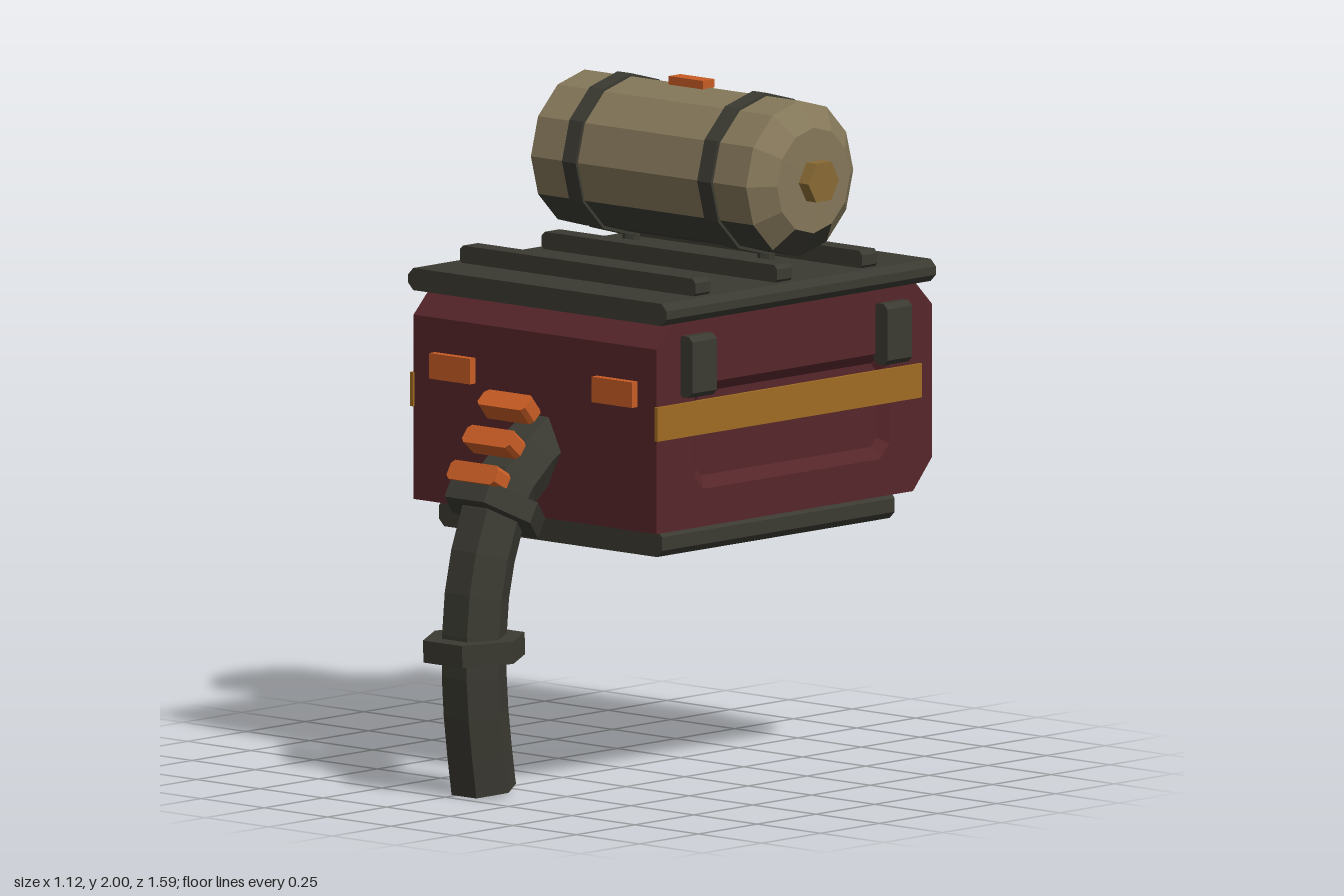
import * as THREE from 'three';

const mat = (name, color) => {
  const m = new THREE.MeshStandardMaterial({ color });
  m.name = name;
  return m;
};

export function createModel() {
  const root = new THREE.Group();
  root.name = 'tankBox';
  const maroon = mat('maroon', 0x57262a), dark = mat('charcoal', 0x3b3a32), tan = mat('tan', 0x85785a);
  const orange = mat('orange', 0xc85c24), gold = mat('gold', 0xa06c22), brass = mat('brass', 0x8a6a35);
  const CX = 0.03; // middle of the box in x

  // Adds a faceted mesh
  function add(name, geo, material, x = 0, y = 0, z = 0) {
    const g = geo.index ? geo.toNonIndexed() : geo;
    g.computeVertexNormals();
    const m = new THREE.Mesh(g, material);
    m.name = name;
    m.position.set(x, y, z);
    root.add(m);
    return m;
  }
  const box = (w, h, d) => new THREE.BoxGeometry(w, h, d);
  // Corner-cut rectangle outline
  const octagon = (x0, x1, y0, y1, c) => [
    [x0 + c, y0], [x1 - c, y0], [x1, y0 + c], [x1, y1 - c],
    [x1 - c, y1], [x0 + c, y1], [x0, y1 - c], [x0, y0 + c],
  ].map(p => new THREE.Vector2(...p));
  // Bar along z with chamfered long edges
  function bar(w, h, d, c) {
    const s = new THREE.Shape(octagon(-w / 2, w / 2, -h / 2, h / 2, c));
    return new THREE.ExtrudeGeometry(s, { depth: d, bevelEnabled: false }).translate(0, 0, -d / 2);
  }

  // Body: side profile (drawn as -z, y) swept across x, with a recessed panel on each side
  const profile = [[-0.4, 0.79], [0.69, 0.79], [0.77, 0.88], [0.77, 1.33], [0.7, 1.4], [-0.33, 1.4], [-0.4, 1.33]]
    .map(p => new THREE.Vector2(...p));
  const depth = 0.025;
  const sweep = (shape, w, x) => new THREE.ExtrudeGeometry(shape, { depth: w, bevelEnabled: false })
    .translate(0, 0, -w / 2).rotateY(Math.PI / 2).translate(x, 0, 0);
  add('body', sweep(new THREE.Shape(profile), 0.96 - 2 * depth, CX), maroon);
  const outer = octagon(-0.24, 0.59, 0.9, 1.21, 0.04), inner = octagon(-0.21, 0.56, 0.935, 1.18, 0.025);
  for (const side of [1, -1]) {
    const shell = new THREE.Shape(profile);
    shell.holes.push(new THREE.Path(outer));
    add('sideShell', sweep(shell, depth, CX + side * (0.48 - depth / 2)), maroon);
    // Sloped rim of the recess
    const pos = [];
    const xo = CX + side * 0.48, xi = CX + side * (0.481 - depth);
    outer.forEach((a, i) => {
      const j = (i + 1) % 8;
      const A = [xo, a.y, -a.x], B = [xo, outer[j].y, -outer[j].x];
      const C = [xi, inner[j].y, -inner[j].x], D = [xi, inner[i].y, -inner[i].x];
      pos.push(...(side > 0 ? [A, B, C, A, C, D] : [A, C, B, A, D, C]).flat());
    });
    const rim = new THREE.BufferGeometry();
    rim.setAttribute('position', new THREE.Float32BufferAttribute(pos, 3));
    add('recessRim', rim, maroon);

    // Stripe and lid latches
    add('sideStripe', box(0.012, 0.1, 1.125), gold, CX + side * 0.483, 1.112, -0.157);
    for (const z of [0.247, -0.583])
      add('latch', bar(0.055, 0.18, 0.105, 0.015), dark, CX + side * 0.5, 1.27, z);
  }

  // Lid with ribs, and base plate
  add('lid', bar(1.02, 0.065, 1.145, 0.02), dark, CX, 1.432, -0.182);
  for (const z of [0.193, -0.155, -0.517])
    add('lidRib', bar(0.93, 0.055, 0.064, 0.012), dark, CX + 0.005, 1.488, z);
  add('base', bar(0.88, 0.08, 0.99, 0.02), dark, CX + 0.005, 0.75, -0.155);

  // Marker lights
  for (const x of [-0.285, 0.355]) add('frontLight', box(0.16, 0.075, 0.025), orange, x, 1.192, 0.4125);
  add('backLight', box(0.13, 0.06, 0.025), orange, 0.355, 1.11, -0.783);

  // Tank: twelve-sided, lying along x, with dark underside faces
  const TY = 1.75, TZ = -0.262, step = Math.PI / 6;
  function tankPart(name, pts, material, first, count) {
    const g = new THREE.LatheGeometry(pts.map(p => new THREE.Vector2(...p)), count, first * step, count * step);
    add(name, g.rotateZ(-Math.PI / 2), material, 0, TY, TZ);
  }
  const R = 0.228, r = 0.155, barrel = [[R, -0.39], [R, 0.46]];
  tankPart('tank', barrel, tan, 5, 8);
  tankPart('tankUnderside', barrel, dark, 1, 4);
  for (const slope of [[[r, -0.445], [R, -0.39]], [[R, 0.46], [r, 0.515]]]) {
    tankPart('tankShoulder', slope, tan, 4, 10);
    tankPart('tankShoulderUnderside', slope, dark, 2, 2);
  }
  tankPart('tankEnd', [[0, -0.447], [r, -0.445]], tan, 0, 12);
  tankPart('tankEnd', [[r, 0.515], [0, 0.517]], tan, 0, 12);
  for (const x of [-0.232, 0.302]) {
    const strap = new THREE.CylinderGeometry(0.237, 0.237, 0.054, 12).rotateZ(-Math.PI / 2);
    add('tankStrap', strap, dark, x, TY, TZ);
    add('tankStrut', new THREE.CylinderGeometry(0.026, 0.026, 0.1, 6), dark, x, 1.5, -0.29);
  }
  add('tankCap', new THREE.CylinderGeometry(0.065, 0.065, 0.05, 6).rotateZ(-Math.PI / 2), brass, 0.53, TY, TZ);
  add('tankTag', box(0.135, 0.025, 0.05), orange, 0.033, 1.9875, TZ);

  // Capped tube along a curve
  function pipe(name, pts, segs, radius) {
    const curve = new THREE.CatmullRomCurve3(pts.map(p => new THREE.Vector3(...p)));
    add(name, new THREE.TubeGeometry(curve, segs, radius, 6), dark);
    return curve;
  }
  pipe('fuelLine', [[-0.43, 1.78, -0.26], [-0.515, 1.67, -0.3], [-0.53, 1.56, -0.41],
    [-0.485, 1.485, -0.53], [-0.36, 1.475, -0.67]], 10, 0.032);

  // Front hose with hexagonal collars
  const HX = 0.034;
  const hose = pipe('hose', [[HX, 1.03, 0.33], [HX, 0.965, 0.44], [HX, 0.845, 0.565], [HX, 0.65, 0.64],
    [HX, 0.44, 0.664], [HX, 0.24, 0.655], [HX, 0.018, 0.623]], 10, 0.098);
  const up = new THREE.Vector3(0, 1, 0);
  function collar(name, center, dir, radius, h) {
    const m = add(name, new THREE.CylinderGeometry(radius, radius, h, 6).rotateY(Math.PI / 2), dark, HX, ...center);
    m.quaternion.setFromUnitVectors(up, new THREE.Vector3(0, ...dir).normalize());
  }
  collar('upperCollar', [0.838, 0.575], [0.87, -0.5], 0.154, 0.065);
  collar('lowerCollar', [0.438, 0.664], [1, 0.04], 0.154, 0.065);
  const t = hose.getTangentAt(1);
  collar('hoseEnd', [0.02, 0.623], [-t.y, -t.z], 0.098, 0.006);

  // Orange blocks stepping down above the hose
  [[1.125, 0.515, 50], [1.03, 0.58, 40], [0.937, 0.645, 30]].forEach(([y, z, deg]) => {
    const g = bar(0.188, 0.06, 0.06, 0.012);
    add('warningBlock', g, orange, HX, y, z).rotation.x = -THREE.MathUtils.degToRad(deg);
  });

  return root;
}
